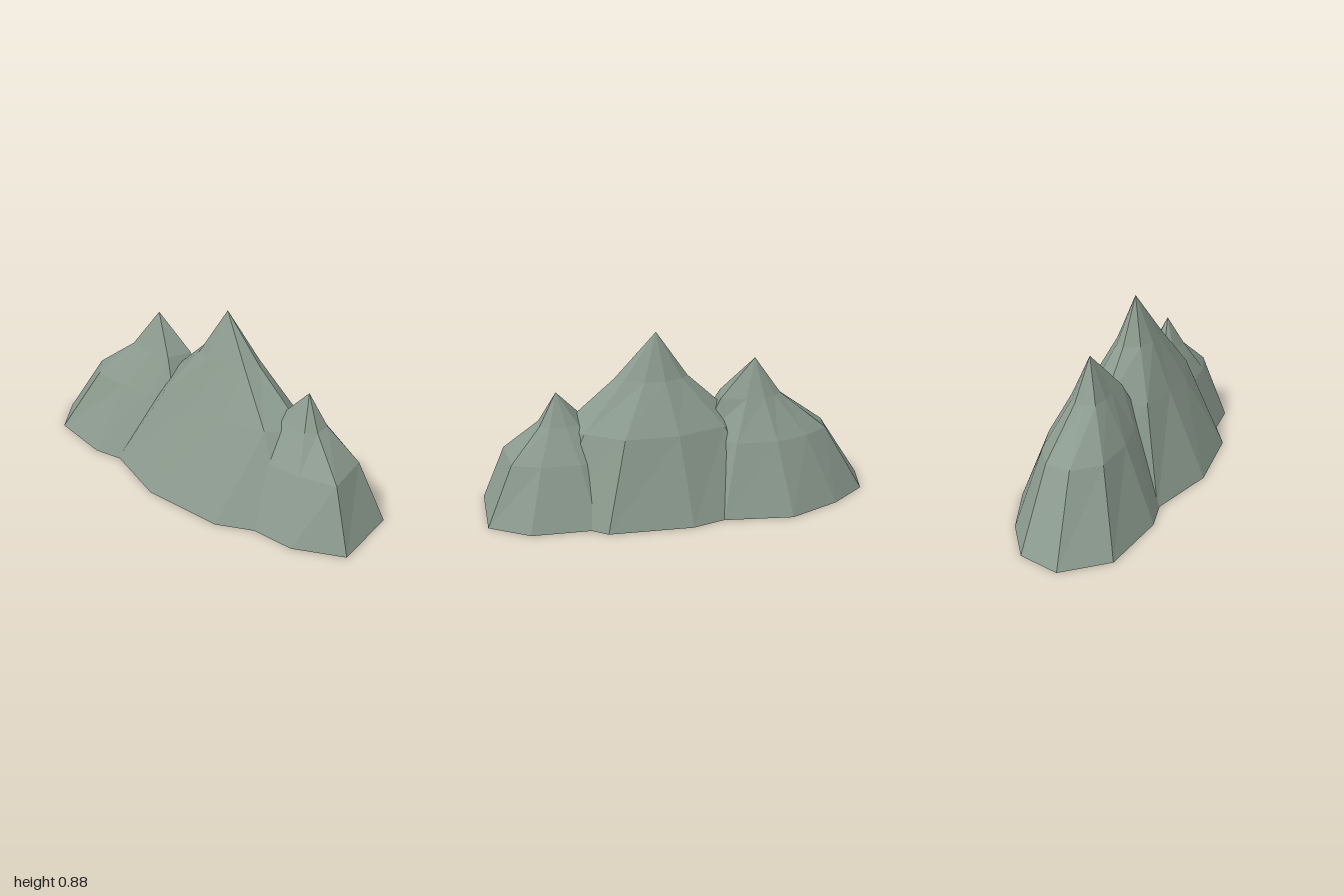
import * as THREE from 'three';

const rock = new THREE.MeshStandardMaterial({ color: 0x8b9a8e, flatShading: true, side: THREE.DoubleSide });

// Each foot point: x, z, then how far out the slope still is at the middle and upper ring
const peaks = [
  {
    name: 'leftPeak', apex: [-0.37, 0.73, -0.06],
    foot: [
      [-1, 0.07, 0.62, 0.2], [-0.84, 0.26, 0.6, 0.25], [-0.5, 0.31, 0.56, 0.25], [-0.2, 0.25, 0.58, 0.28],
      [0.03, 0.18, 0.62, 0.38], [0.08, -0.17, 0.64, 0.4], [-0.16, -0.345, 0.6, 0.28], [-0.5, -0.38, 0.58, 0.25],
      [-0.76, -0.27, 0.62, 0.24], [-0.95, -0.13, 0.64, 0.23],
    ],
  },
  {
    name: 'mainPeak', apex: [0.12, 0.88, -0.04],
    foot: [
      [-0.65, -0.05, 0.53, 0.2], [-0.36, 0.275, 0.55, 0.24], [0, 0.385, 0.5, 0.25], [0.41, 0.36, 0.53, 0.25],
      [0.71, 0.2, 0.62, 0.29], [0.75, -0.03, 0.76, 0.33], [0.68, -0.2, 0.66, 0.3], [0.41, -0.38, 0.64, 0.25],
      [0, -0.39, 0.62, 0.25], [-0.42, -0.27, 0.58, 0.22],
    ],
  },
  {
    name: 'rightPeak', apex: [0.61, 0.61, -0.05],
    foot: [
      [0.07, 0.08, 0.6, 0.26], [0.22, 0.24, 0.58, 0.25], [0.5, 0.275, 0.6, 0.25], [0.78, 0.26, 0.6, 0.27],
      [1, 0.14, 0.69, 0.23], [0.97, -0.21, 0.64, 0.24], [0.77, -0.325, 0.58, 0.25], [0.45, -0.33, 0.58, 0.25],
      [0.22, -0.25, 0.58, 0.25],
    ],
  },
];

// Loft a faceted, open-bottomed slope from the foot through two rings to the apex
function peakGeometry({ apex, foot }) {
  const n = foot.length;
  const [ax, ay, az] = apex;
  const positions = [];
  for (const [height, scaleOf] of [[0, () => 1], [0.48, (p) => p[2]], [0.745, (p) => p[3]]]) {
    for (const p of foot) {
      const s = scaleOf(p);
      positions.push(ax + (p[0] - ax) * s, ay * height, az + (p[1] - az) * s);
    }
  }
  positions.push(ax, ay, az);

  const index = [];
  for (let i = 0; i < n; i++) {
    const j = (i + 1) % n;
    for (let r = 0; r < 2; r++) {
      const a = r * n + i, b = r * n + j, c = a + n, d = b + n;
      index.push(a, b, d, a, d, c);
    }
    index.push(2 * n + i, 2 * n + j, 3 * n);
  }
  const indexed = new THREE.BufferGeometry();
  indexed.setAttribute('position', new THREE.Float32BufferAttribute(positions, 3));
  indexed.setIndex(index);
  const geometry = indexed.toNonIndexed();
  geometry.computeVertexNormals();
  return geometry;
}

export function createModel() {
  const mountains = new THREE.Group();
  mountains.name = 'mountainRange';
  for (const peak of peaks) {
    const mesh = new THREE.Mesh(peakGeometry(peak), rock);
    mesh.name = peak.name;
    mountains.add(mesh);
  }
  return mountains;
}
